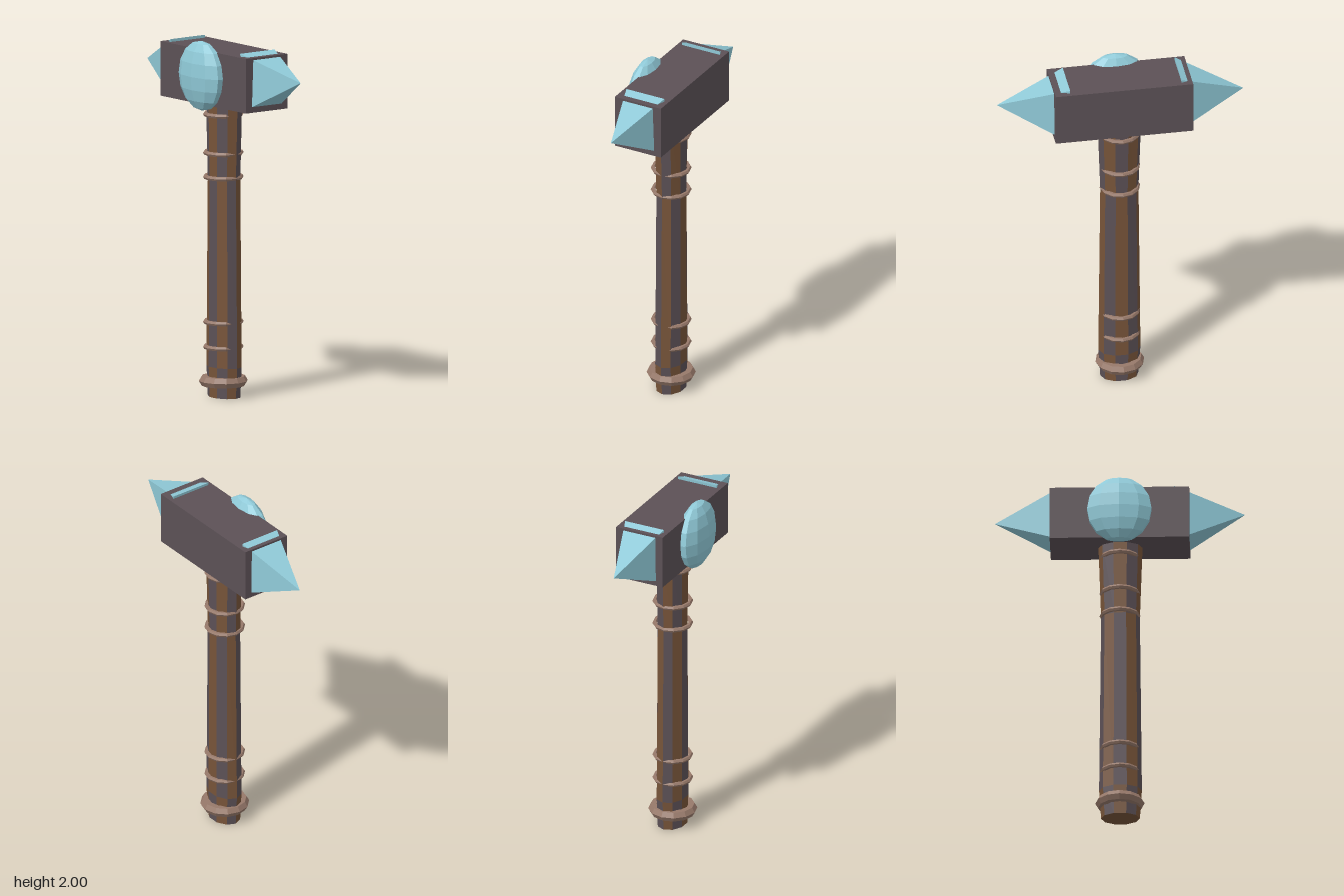
import * as THREE from 'three';
import { ConvexGeometry } from 'three/addons/geometries/ConvexGeometry.js';

const CZ = -0.043; // depth of the handle axis

function material(name, color, flat = true) {
  const m = new THREE.MeshStandardMaterial({ color, flatShading: flat });
  m.name = name;
  return m;
}

// Ten-sided oval shaft whose staves alternate between two materials
function shaftFaces(sections, sides, wantParity) {
  const pos = [];
  const point = (s, i) => {
    const a = (i / sides) * Math.PI * 2;
    return [0.003 + s.rx * Math.cos(a), s.y, CZ + s.rz * Math.sin(a)];
  };
  for (let k = 0; k < sections.length - 1; k++) {
    const lo = sections[k], hi = sections[k + 1];
    for (let i = 0; i < sides; i++) {
      if ((i + lo.shift) % 2 !== wantParity) continue;
      const a = point(lo, i), b = point(hi, i), c = point(hi, i + 1), d = point(lo, i + 1);
      pos.push(...a, ...b, ...c, ...a, ...c, ...d);
    }
  }
  // Closed butt end
  if (wantParity === 1) {
    for (let i = 0; i < sides; i++) {
      pos.push(0.003, sections[0].y, CZ, ...point(sections[0], i), ...point(sections[0], i + 1));
    }
  }
  const g = new THREE.BufferGeometry();
  g.setAttribute('position', new THREE.Float32BufferAttribute(pos, 3));
  g.computeVertexNormals();
  return g;
}

export function createModel() {
  const stone = material('dark stone', 0x5c5156);
  const wood = material('brown wood', 0x775439);
  const binding = material('tan binding', 0x97796a);
  const crystal = material('pale blue crystal', 0x90cad8);

  const model = new THREE.Group();
  model.name = 'hammer';
  const add = (name, geometry, mat, parent = model) => {
    const mesh = new THREE.Mesh(geometry, mat);
    mesh.name = name;
    parent.add(mesh);
    return mesh;
  };

  // Head block
  add('headBlock', new THREE.BoxGeometry(0.77, 0.305, 0.29), stone).position.set(0, 1.7975, -0.045);

  // Crystal spikes, their upper base edges breaking through the top of the head
  const spikes = [
    { name: 'leftSpike', tip: [0.69, 1.84], top: [0.3, 1.966], bottom: [0.335, 1.65] },
    { name: 'rightSpike', tip: [-0.69, 1.8], top: [-0.325, 1.966], bottom: [-0.33, 1.65] },
  ];
  for (const { name, tip, top, bottom } of spikes) {
    const points = [new THREE.Vector3(...tip, -0.045)];
    for (const [x, y] of [top, bottom]) {
      for (const side of [-1, 1]) points.push(new THREE.Vector3(x, y, -0.045 + side * 0.12));
    }
    add(name, new ConvexGeometry(points), crystal);
  }

  // Faceted oval gem on the front
  const gem = new THREE.SphereGeometry(1, 10, 8, Math.PI / 10);
  gem.scale(0.187, 0.195, 0.077);
  add('frontGem', gem, crystal).position.set(0, 1.808, 0.11);

  // Handle
  const handle = new THREE.Group();
  handle.name = 'handle';
  model.add(handle);
  const sections = [
    { y: 0, rx: 0.107, rz: 0.079, shift: 1 },
    { y: 0.17, rx: 0.118, rz: 0.083, shift: 0 },
    { y: 1.22, rx: 0.107, rz: 0.079, shift: 1 },
    { y: 1.66, rx: 0.122, rz: 0.084, shift: 0 },
  ];
  add('darkStaves', shaftFaces(sections, 10, 0), stone, handle);
  add('woodStaves', shaftFaces(sections, 10, 1), wood, handle);

  // Wrapped bindings and the thick pommel ring
  const ring = (name, y, radius, tube) => {
    const g = new THREE.TorusGeometry(radius, tube, 6, 12);
    g.rotateX(Math.PI / 2);
    add(name, g, binding, handle).position.set(0, y, -0.04);
  };
  [0.28, 0.42, 1.23, 1.365, 1.58].forEach((y, i) => ring(`binding${i + 1}`, y, 0.1, 0.013));
  ring('pommelRing', 0.09, 0.105, 0.031);

  return model;
}
